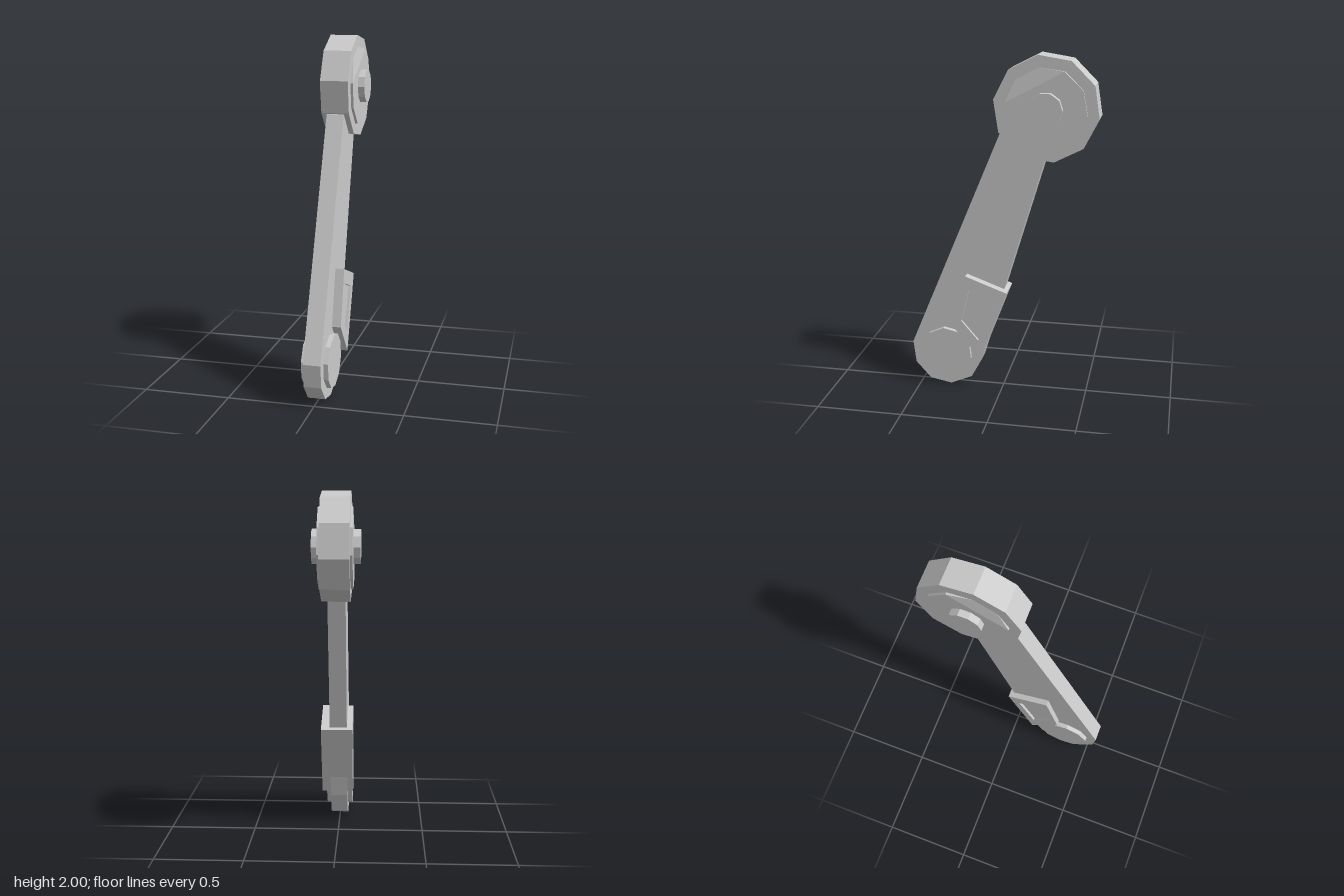
import * as THREE from 'three';
import { ConvexGeometry } from 'three/addons/geometries/ConvexGeometry.js';

const material = new THREE.MeshStandardMaterial({ color: 0xcccccc, flatShading: true });

// Profiles are [-z, y] points, as seen from the +x side.
const toVectors = (points) => points.map(([u, y]) => new THREE.Vector2(u, y));

// Regular ten-sided outline; phase in degrees.
function decagon(u, y, radius, phase) {
  return Array.from({ length: 10 }, (_, i) => {
    const a = THREE.MathUtils.degToRad(phase + i * 36);
    return [u + radius * Math.cos(a), y + radius * Math.sin(a)];
  });
}

// Side profile extruded across the model from x0 to x1.
function slab(name, points, x0, x1, hole) {
  const shape = new THREE.Shape(toVectors(points));
  if (hole) shape.holes.push(new THREE.Path(toVectors(hole)));
  const geometry = new THREE.ExtrudeGeometry(shape, { depth: x1 - x0, bevelEnabled: false });
  geometry.translate(0, 0, x0);
  geometry.rotateY(Math.PI / 2);
  const mesh = new THREE.Mesh(geometry, material);
  mesh.name = name;
  return mesh;
}

export function createModel() {
  const model = new THREE.Group();
  model.name = 'crankArm';

  // Tapered arm with a rounded lower end
  model.add(slab('arm', [
    [-0.013, 1.56], [-0.549, 0.26], [-0.533, 0.127], [-0.443, 0.027], [-0.316, 0.003],
    [-0.188, 0.058], [-0.125, 0.175], [0.241, 1.411], [0.25, 1.65], [0.1, 1.7],
  ], -0.05, 0.05));

  // Upper pivot: wide disc and protruding hub
  const pivotU = 0.249, pivotY = 1.705;
  model.add(slab('upperDisc', decagon(pivotU, pivotY, 0.298, 27), -0.08, 0.08));
  model.add(slab('upperHub', decagon(pivotU, pivotY, 0.097, 0), -0.133, 0.132));

  // Raised plates on both disc faces, sloping down to the disc at two corners
  const platePoints = [];
  decagon(pivotU, pivotY, 0.232, 28.5).forEach(([u, y], i) => {
    const x = i === 2 || i === 3 ? 0.08 : 0.094;
    for (const side of [-1, 1]) platePoints.push(new THREE.Vector3(side * x, y, -u));
  });
  const plate = new THREE.Mesh(new ConvexGeometry(platePoints), material);
  plate.name = 'upperPlates';
  model.add(plate);

  // Lower pivot cap
  model.add(slab('lowerCap', decagon(-0.337, 0.217, 0.154, 24), -0.077, 0.077));

  // Bracket around the back of the arm with a sunken panel on each side
  const bracket = [[-0.21, 0.716], [-0.29, 0.398], [-0.125, 0.202], [0.035, 0.626]];
  const panel = [[-0.19, 0.626], [-0.236, 0.435], [-0.135, 0.318], [-0.034, 0.568]];
  model.add(slab('bracket', bracket, -0.083, 0.101, panel));
  model.add(slab('bracketPanels', panel, -0.067, 0.085));

  return model;
}
